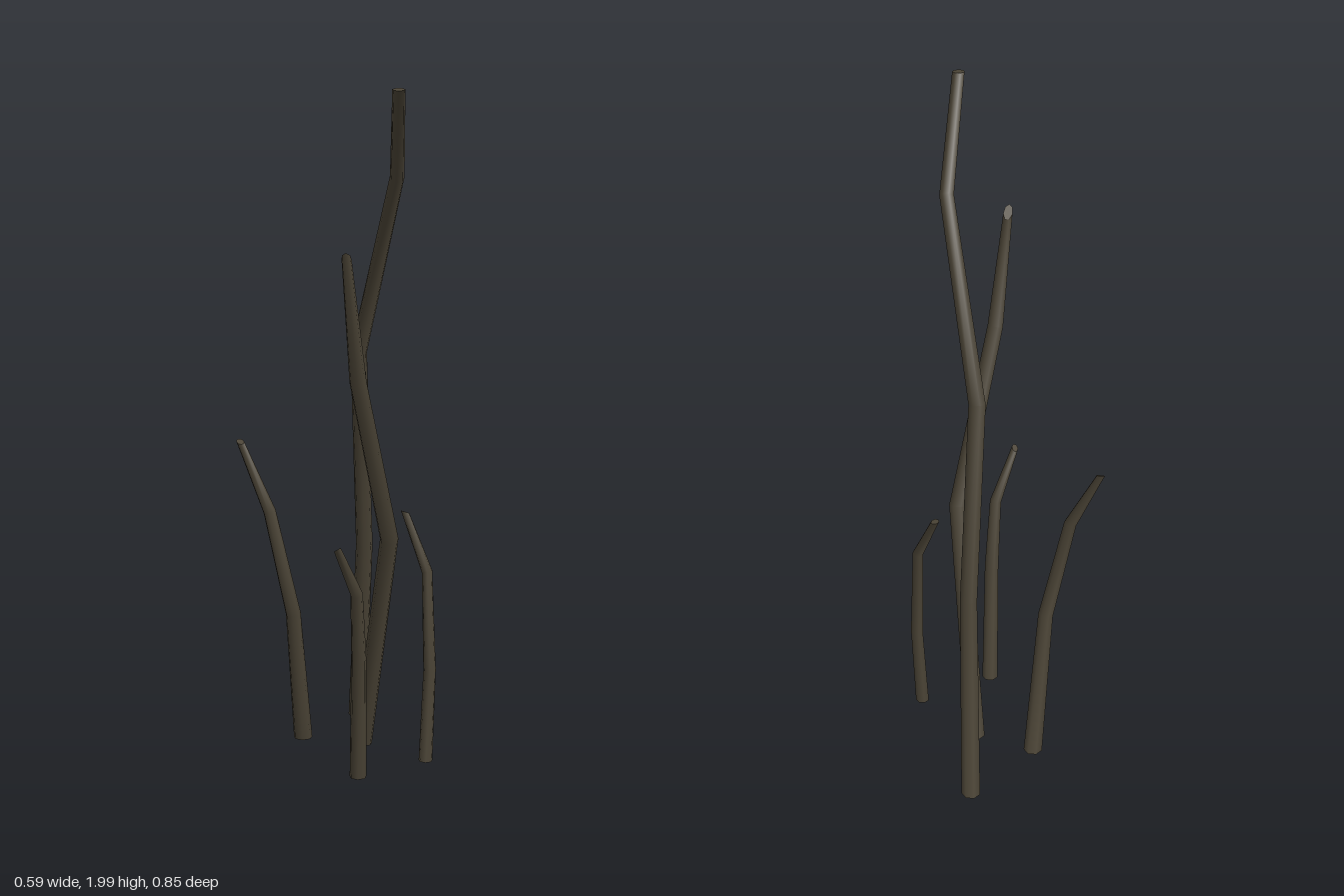
import * as THREE from 'three';

const SIDES = 7;

// Each stalk: path points [x, y, z, radius] from the ground up, and the normal of the slanted cut at the tip
const STALKS = [
  { name: 'tallStalk', cut: [0, 1, 0.15], path: [
    [0.055, 0, -0.39, 0.029], [0.077, 0.6, -0.23, 0.026], [0.06, 1.21, -0.13, 0.025],
    [0.17, 1.74, 0.1, 0.021], [0.172, 1.99, 0.38, 0.018]] },
  { name: 'middleStalk', cut: [0, 1, -1], path: [
    [0.075, 0, -0.12, 0.029], [0.153, 0.7, 0.11, 0.027], [0.065, 1.2, 0.345, 0.024], [0.035, 1.545, 0.412, 0.014]] },
  { name: 'rightStalk', cut: [0, 1, 0.5], path: [
    [-0.11, 0, -0.17, 0.029], [-0.133, 0.43, -0.048, 0.023], [-0.2, 0.75, -0.018, 0.019], [-0.288, 0.952, -0.062, 0.011]] },
  { name: 'frontStalk', cut: [-0.6, 1, -0.3], path: [
    [0.065, 0, 0.17, 0.025], [0.068, 0.38, 0.25, 0.022], [0.062, 0.59, 0.308, 0.018], [0.01, 0.74, 0.39, 0.011]] },
  { name: 'leftStalk', cut: [0.3, 1, -0.2], path: [
    [0.265, 0, 0.028, 0.021], [0.275, 0.28, 0.02, 0.019], [0.265, 0.58, 0.015, 0.016], [0.2, 0.745, -0.05, 0.011]] },
];

// Bent tube with mitred joints, a level base and a slanted tip
function stalkGeometry({ path, cut }) {
  const pts = path.map(([x, y, z]) => new THREE.Vector3(x, y, z));
  const dirs = pts.slice(1).map((p, i) => p.clone().sub(pts[i]).normalize());
  const last = pts.length - 1;
  const rings = pts.map((p, i) => {
    const dir = dirs[Math.max(i - 1, 0)];
    const normal = i === 0 ? new THREE.Vector3(0, 1, 0)
      : i === last ? new THREE.Vector3(...cut).normalize()
      : dir.clone().add(dirs[i]).normalize();
    const u = new THREE.Vector3(1, 0, 0).addScaledVector(dir, -dir.x).normalize();
    const v = u.clone().cross(dir);
    return Array.from({ length: SIDES }, (_, k) => {
      const a = (k / SIDES) * Math.PI * 2 + Math.PI / 2;
      const o = u.clone().multiplyScalar(Math.cos(a) * path[i][3])
        .addScaledVector(v, Math.sin(a) * path[i][3]);
      // slide along the tube onto the joint plane
      o.addScaledVector(dir, -o.dot(normal) / dir.dot(normal));
      return o.add(p);
    });
  });

  const position = [], index = [];
  rings.flat().forEach((p) => position.push(p.x, p.y, p.z));
  for (let i = 0; i < last; i++) {
    for (let k = 0; k < SIDES; k++) {
      const a = i * SIDES + k, b = i * SIDES + (k + 1) % SIDES;
      index.push(a, a + SIDES, b, b, a + SIDES, b + SIDES);
    }
  }
  // end caps with their own corners, so their edges stay sharp
  for (const [ring, top] of [[rings[0], false], [rings[last], true]]) {
    const s = position.length / 3;
    ring.forEach((p) => position.push(p.x, p.y, p.z));
    for (let k = 1; k < SIDES - 1; k++) {
      index.push(s, ...(top ? [s + k + 1, s + k] : [s + k, s + k + 1]));
    }
  }
  const geometry = new THREE.BufferGeometry();
  geometry.setAttribute('position', new THREE.Float32BufferAttribute(position, 3));
  geometry.setIndex(index);
  geometry.computeVertexNormals();
  return geometry;
}

export function createModel() {
  const group = new THREE.Group();
  group.name = 'stalks';
  const bark = new THREE.MeshStandardMaterial({ color: 0x4b4436 });
  bark.name = 'darkBark';
  for (const stalk of STALKS) {
    // the winding follows v = u x dir, which runs clockwise seen from above
    const mesh = new THREE.Mesh(stalkGeometry(stalk), bark);
    mesh.name = stalk.name;
    group.add(mesh);
  }
  return group;
}
